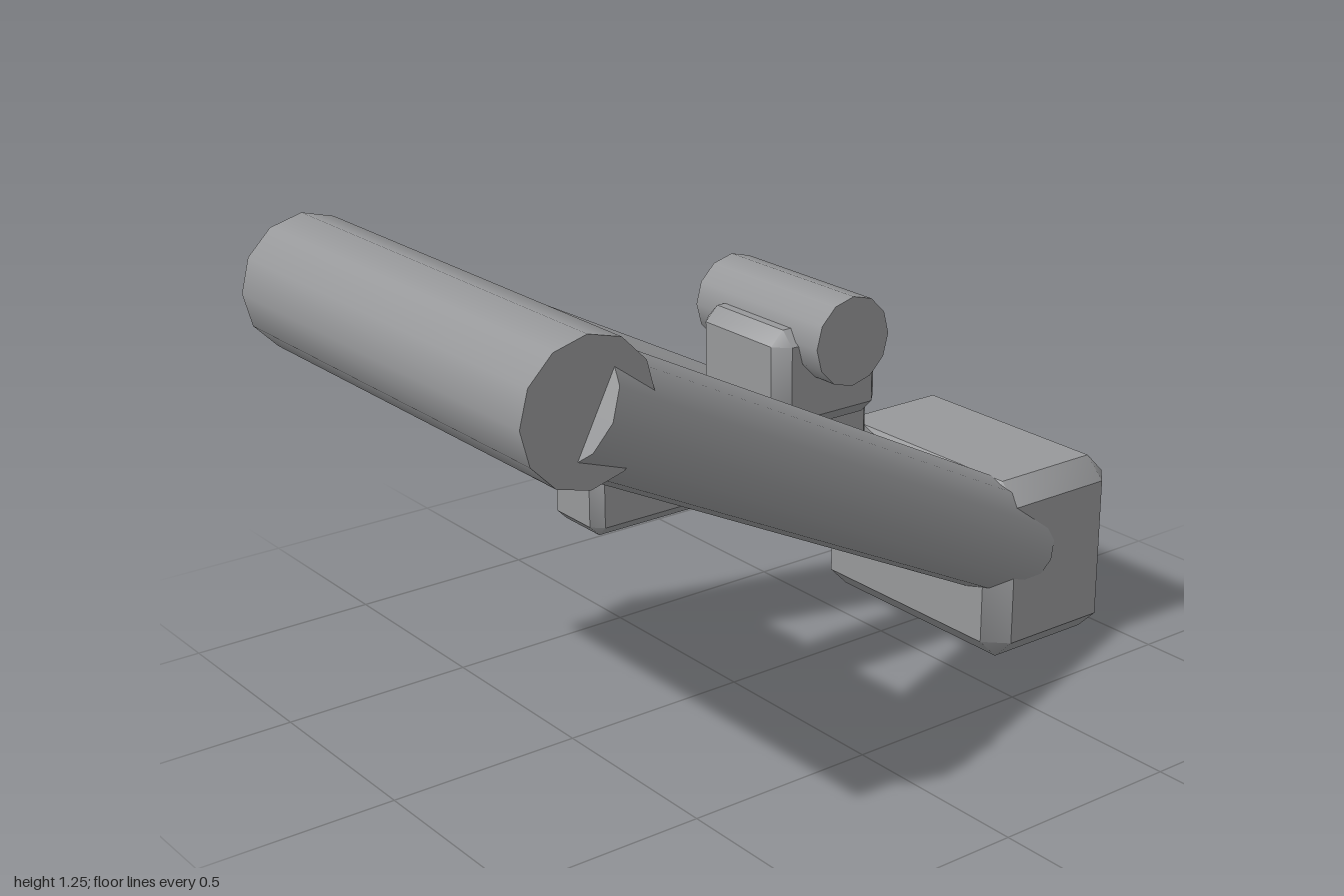
import * as THREE from 'three';
import { toCreasedNormals } from 'three/addons/utils/BufferGeometryUtils.js';
import { ConvexGeometry } from 'three/addons/geometries/ConvexGeometry.js';

const SIDES = 12;

export function createModel() {
  const group = new THREE.Group();
  const material = new THREE.MeshStandardMaterial({ color: 0x97989a });

  function add(name, geometry) {
    const mesh = new THREE.Mesh(geometry, material);
    mesh.name = name;
    group.add(mesh);
    return mesh;
  }

  // Closed cylinder running between two points, rolled about its own axis
  function rod(name, radius, from, to, roll = 0) {
    const a = new THREE.Vector3(...from);
    const b = new THREE.Vector3(...to);
    const geometry = new THREE.CylinderGeometry(radius, radius, a.distanceTo(b), SIDES);
    const mesh = add(name, geometry.rotateY(roll));
    mesh.position.copy(a).lerp(b, 0.5);
    mesh.quaternion.setFromUnitVectors(new THREE.Vector3(0, 1, 0), b.sub(a).normalize());
  }

  // Box with every edge and corner cut by a single bevel
  function bevelBox(name, [w, h, d], bevel, [x, y, z]) {
    const half = [w / 2, h / 2, d / 2];
    const points = [];
    for (const sx of [-1, 1]) for (const sy of [-1, 1]) for (const sz of [-1, 1]) {
      for (let axis = 0; axis < 3; axis++) {
        const p = half.map((s, i) => (i === axis ? s : s - bevel));
        points.push(new THREE.Vector3(p[0] * sx, p[1] * sy, p[2] * sz));
      }
    }
    // Bevels blend into the corners; the flat faces stay sharp
    const mesh = add(name, toCreasedNormals(new ConvexGeometry(points), THREE.MathUtils.degToRad(40)));
    mesh.position.set(x, y, z);
  }

  // Outer frame: cross bar, two converging arms and the heavy end block
  rod('crossBar', 0.168, [-0.832, 1.086, -0.588], [-0.832, 1.086, 0.588]);
  for (const side of [-1, 1]) {
    rod(side > 0 ? 'frontArm' : 'backArm', 0.146,
      [-0.828, 1.086, side * 0.494], [0.735, 0.28, side * 0.223], Math.PI / SIDES);
  }
  bevelBox('endBlock', [0.421, 0.49, 0.71], 0.056, [0.788, 0.248, 0]);

  // Inner assembly: long rail, raised block and short roller
  bevelBox('rail', [0.847, 0.22, 0.187], 0.026, [-0.057, 0.66, 0]);
  bevelBox('raisedBlock', [0.326, 0.26, 0.328], 0.036, [0.175, 0.84, 0]);
  rod('roller', 0.112, [0.177, 0.943, -0.235], [0.177, 0.943, 0.235]);

  return group;
}
